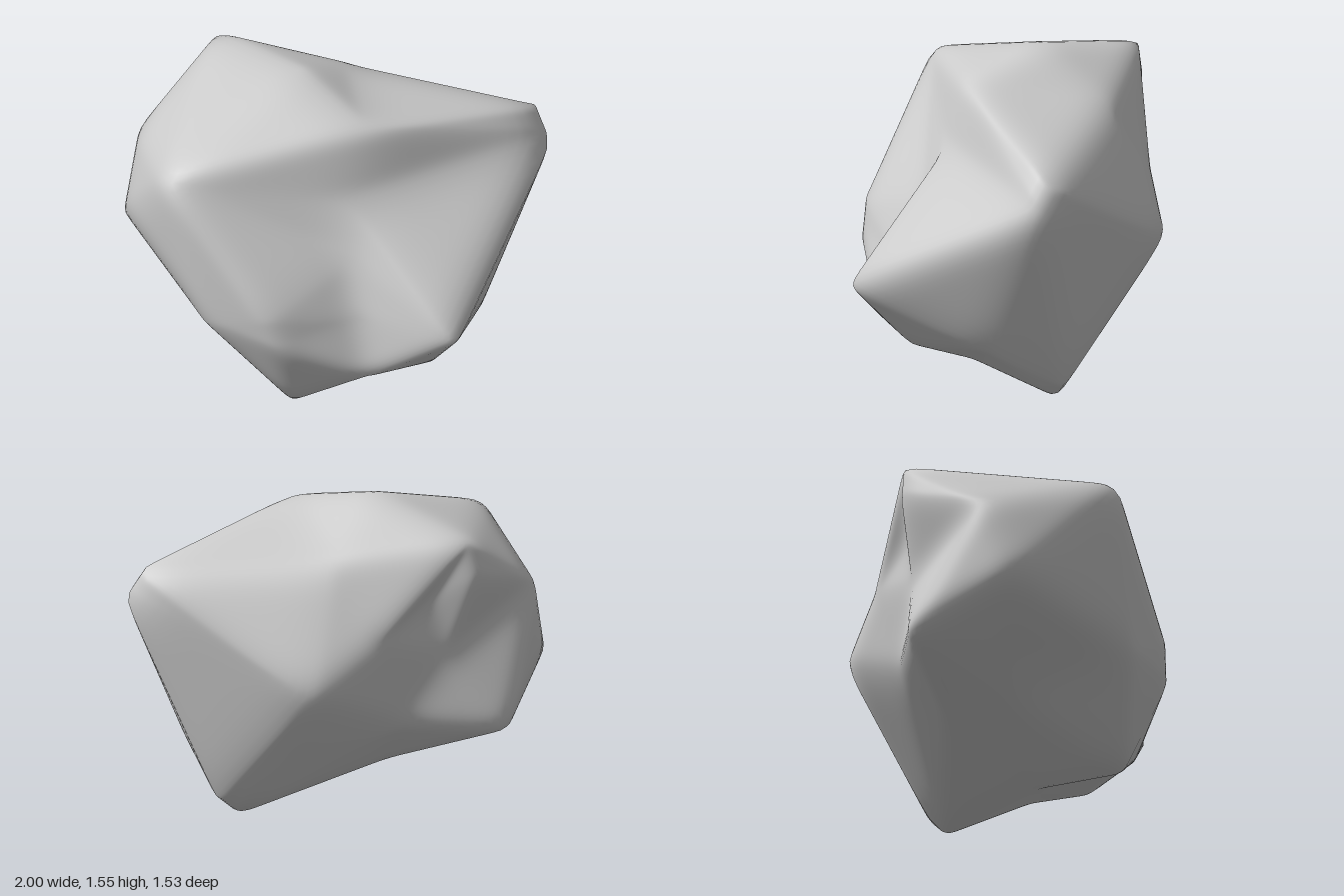
import * as THREE from 'three';
import { ConvexGeometry } from 'three/addons/geometries/ConvexGeometry.js';
import { mergeVertices } from 'three/addons/utils/BufferGeometryUtils.js';

const CENTRE = new THREE.Vector3(0, 0.72, 0);

// Corners and hollows of the boulder: x, y, z (corners stand out a little, wear takes it off)
const CORNERS = [
  // crown
  [-0.18, 1.55, -0.1], [0.2, 1.44, 0.18], [0.96, 1.25, -0.4], [1.03, 1.12, -0.34],
  [-0.72, 1.28, 0.55], [-0.64, 1.42, -0.49], [0.02, 1.32, -0.48],
  // front bulges and the groove between them
  [-0.2, 0.68, 0.77], [-0.13, 0.5, 0.775], [0.72, 0.57, 0.65], [0.28, 0.27, 0.61],
  [0.16, 1.09, 0.3], [0.14, 0.84, 0.42], [0.21, 0.56, 0.53], [-0.54, 0.49, 0.59],
  // right flank
  [-1.02, 0.68, 0.05], [-0.97, 1.08, -0.1], [-0.84, 0.45, -0.46], [-0.69, 1.24, -0.5],
  // back bulge with its hollows
  [0.13, 0.72, -0.785], [-0.55, 0.84, -0.45], [-0.3, 0.5, -0.52],
  [-0.2, 0.95, -0.64], [-0.45, 1.1, -0.47],
  // left flank and underside
  [0.73, 0.29, -0.02], [0.55, 0.22, 0.38], [0.45, 0.13, 0.1], [0.47, -0.03, -0.32],
  [0.57, 0.07, -0.38], [-0.11, 0.02, 0.55], [0.18, 0.07, 0.1], [-0.4, 0.3, 0],
  [-0.25, 0.24, -0.28],
].map((p) => new THREE.Vector3(...p));

// Join the corners by their directions from the centre, so hollows stay in the skin
function coarseTriangles() {
  const spread = CORNERS.map((p) => {
    const d = p.clone().sub(CENTRE);
    return d.multiplyScalar(Math.pow(d.length(), -0.9));
  });
  const hull = new ConvexGeometry(spread).attributes.position;
  const v = new THREE.Vector3();
  const corners = [];
  for (let i = 0; i < hull.count; i++) {
    v.fromBufferAttribute(hull, i);
    let best = 0;
    spread.forEach((s, k) => {
      if (s.distanceToSquared(v) < spread[best].distanceToSquared(v)) best = k;
    });
    corners.push(CORNERS[best]);
  }
  return corners;
}

// Split every triangle into four
function split(tris) {
  const out = [];
  for (let i = 0; i < tris.length; i += 3) {
    const [a, b, c] = tris.slice(i, i + 3);
    const mid = (p, q) => p.clone().add(q).multiplyScalar(0.5);
    const ab = mid(a, b), bc = mid(b, c), ca = mid(c, a);
    out.push(a, ab, ca, ab, b, bc, ca, bc, c, ab, bc, ca);
  }
  return out;
}

// For each vertex, the vertices it shares an edge with
function findNeighbours(geometry) {
  const index = geometry.index.array;
  const near = Array.from({ length: geometry.attributes.position.count }, () => new Set());
  for (let i = 0; i < index.length; i += 3) {
    for (let k = 0; k < 3; k++) {
      const a = index[i + k], b = index[i + (k + 1) % 3];
      near[a].add(b);
      near[b].add(a);
    }
  }
  return near;
}

// Even out an attribute by blending each vertex with its neighbours
function relax(attribute, near, passes) {
  let vectors = near.map((_, i) => new THREE.Vector3().fromBufferAttribute(attribute, i));
  for (let n = 0; n < passes; n++) {
    vectors = vectors.map((v, i) => {
      const mean = new THREE.Vector3();
      near[i].forEach((k) => mean.add(vectors[k]));
      return v.clone().lerp(mean.divideScalar(near[i].size), 0.5);
    });
  }
  vectors.forEach((v, i) => attribute.setXYZ(i, v.x, v.y, v.z));
}

export function createModel() {
  let tris = coarseTriangles();
  for (let i = 0; i < 4; i++) tris = split(tris);
  const geometry = mergeVertices(new THREE.BufferGeometry().setFromPoints(tris), 1e-5);
  const near = findNeighbours(geometry);

  // Worn edges, then soft shading across them
  relax(geometry.attributes.position, near, 3);
  geometry.computeVertexNormals();
  relax(geometry.attributes.normal, near, 14);
  geometry.normalizeNormals();

  const boulder = new THREE.Mesh(geometry, new THREE.MeshStandardMaterial({ color: 0xcccccc }));
  boulder.name = 'boulder';
  const group = new THREE.Group();
  group.name = 'rock';
  group.add(boulder);
  return group;
}
